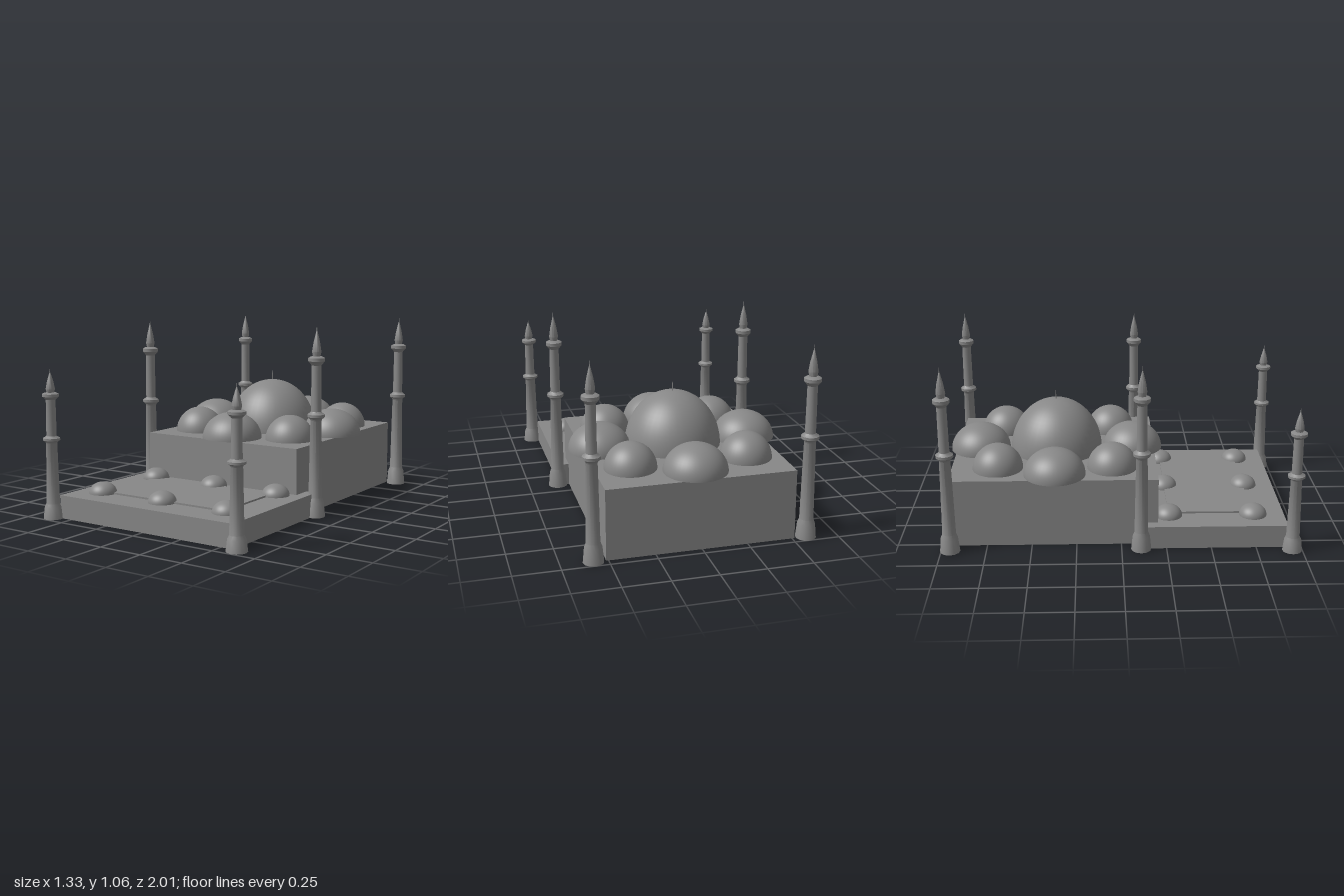
import * as THREE from 'three';
import { toCreasedNormals } from 'three/addons/utils/BufferGeometryUtils.js';

const stone = new THREE.MeshStandardMaterial({ color: 0x888888, side: THREE.DoubleSide });
stone.name = 'grey stone';

export function createModel() {
  const model = new THREE.Group();
  model.name = 'domedHall';

  const add = (name, geometry, x, y, z) => {
    const mesh = new THREE.Mesh(geometry, stone);
    mesh.name = name;
    mesh.position.set(x, y, z);
    model.add(mesh);
    return mesh;
  };

  // box given by its half width, height range and depth range
  const block = (name, halfWidth, y0, y1, z0, z1) =>
    add(name, new THREE.BoxGeometry(halfWidth * 2, y1 - y0, z1 - z0), 0, (y0 + y1) / 2, (z0 + z1) / 2);

  // open half sphere, stretched to its height
  const hemisphere = new THREE.SphereGeometry(1, 40, 16, 0, Math.PI * 2, 0, Math.PI / 2);
  const dome = (name, x, y, z, radius, height) =>
    add(name, hemisphere, x, y, z).scale.set(radius, height, radius);

  // masses
  block('prayerHall', 0.513, 0, 0.388, -0.955, 0.205);
  block('courtyard', 0.575, 0, 0.13, 0.095, 0.925);
  block('courtyardSlab', 0.4, 0.13, 0.14, 0.268, 0.745);

  // main dome and its finial
  const roof = 0.388, centreZ = -0.37;
  dome('mainDome', 0, roof, centreZ, 0.267, 0.302);
  add('finial', new THREE.CylinderGeometry(0.002, 0.003, 0.06, 8), 0, 0.712, centreZ);

  // ring of side and corner domes
  for (const s of [-1, 1]) {
    dome('sideDome', s * 0.418, roof, centreZ, 0.173, 0.15);
    dome('axisDome', 0, roof, centreZ + s * 0.447, 0.173, 0.15);
    for (const t of [-1, 1]) dome('cornerDome', s * 0.32, roof, centreZ + t * 0.323, 0.142, 0.143);
  }

  // small courtyard domes
  for (const x of [-0.417, 0, 0.417])
    for (const z of [0.268, 0.748]) dome('courtyardDome', x, 0.13, z, 0.078, 0.063);

  // minaret profile: flared base, shaft, two balconies, pointed cap, spike
  const profile = [
    [0.056, 0], [0.048, 0.082], [0.038, 0.108], [0.031, 0.54],
    [0.034, 0.548], [0.048, 0.56], [0.048, 0.575], [0.033, 0.585], [0.029, 0.59],
    [0.027, 0.845], [0.032, 0.852], [0.046, 0.868], [0.046, 0.886], [0.032, 0.894], [0.021, 0.896],
    [0.026, 0.92], [0.018, 0.972], [0.004, 1.03], [0.002, 1.035], [0.001, 1.06],
  ].map(([r, y]) => new THREE.Vector2(r, y));
  const minaret = toCreasedNormals(new THREE.LatheGeometry(profile, 12), 0.6);

  for (const s of [-1, 1]) {
    add('rearMinaret', minaret, s * 0.578, 0, -0.95);
    add('middleMinaret', minaret, s * 0.578, 0, 0.108);
    add('frontMinaret', minaret, s * 0.61, 0, 0.944).scale.y = 0.783;
  }

  return model;
}
